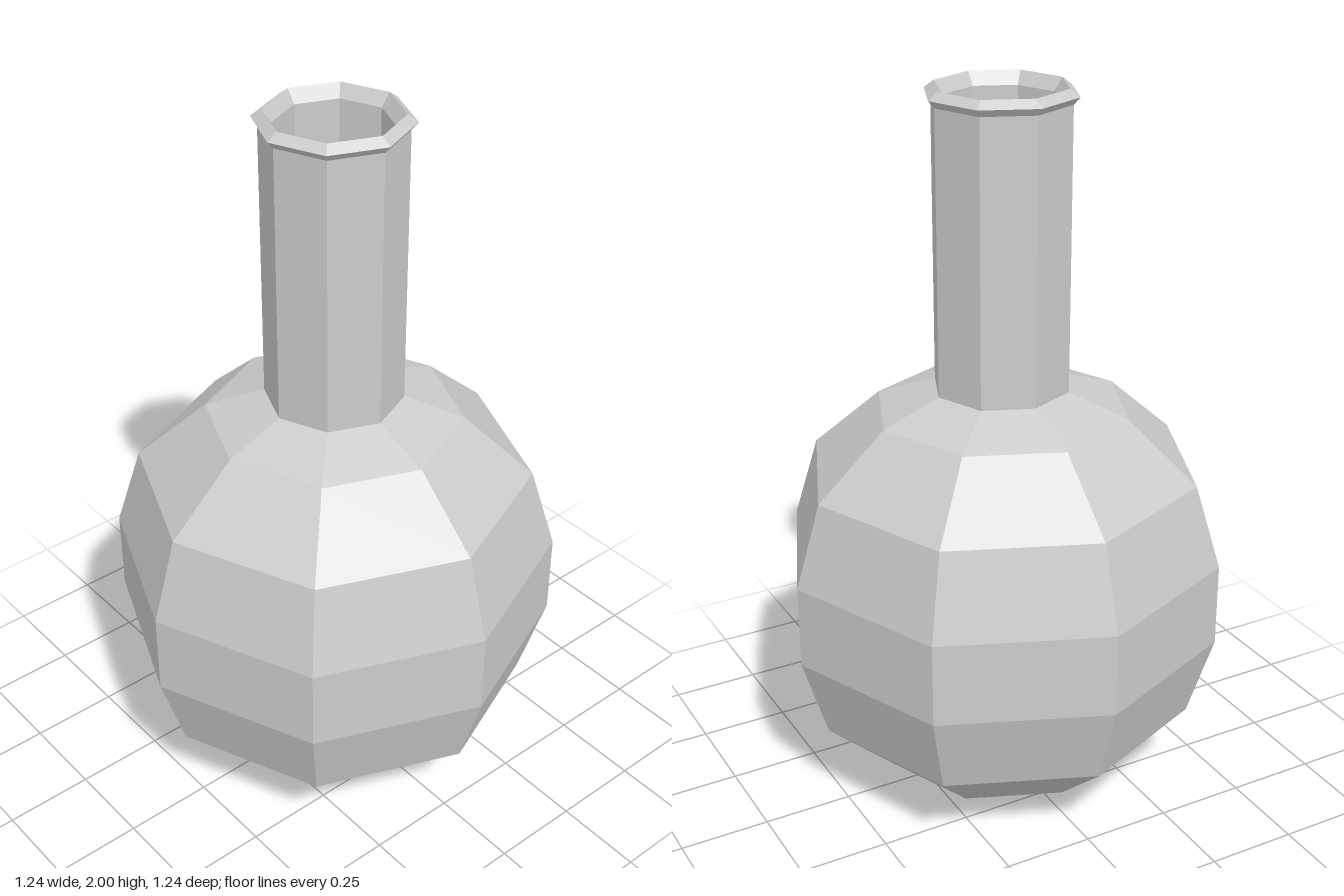
import * as THREE from 'three';

const SIDES = 8;

// Faceted surface of revolution; points run so that the faces look outward
function turned(name, profile, material) {
  const points = profile.map(([r, y]) => new THREE.Vector2(r, y));
  const mesh = new THREE.Mesh(new THREE.LatheGeometry(points, SIDES), material);
  mesh.name = name;
  return mesh;
}

export function createModel() {
  const flask = new THREE.Group();
  flask.name = 'flask';
  const glass = new THREE.MeshStandardMaterial({
    color: 0xcccccc, flatShading: true, side: THREE.DoubleSide,
  });

  // Round body with a slightly dented base
  flask.add(turned('body', [
    [0, 0.02], [0.08, 0], [0.355, 0.065], [0.55, 0.24], [0.622, 0.475],
    [0.622, 0.71], [0.55, 0.945], [0.355, 1.12], [0.19, 1.18],
  ], glass));

  // Straight neck
  flask.add(turned('neck', [[0.19, 1.18], [0.19, 1.96]], glass));

  // Flared lip, bevelled into the mouth
  flask.add(turned('lip', [
    [0.19, 1.96], [0.207, 1.98], [0.18, 2], [0.155, 1.965],
  ], glass));

  // Hollow interior, from the mouth down to the floor
  flask.add(turned('interior', [
    [0.155, 1.965], [0.155, 1.155], [0.34, 1.09], [0.52, 0.93], [0.587, 0.705],
    [0.587, 0.48], [0.52, 0.26], [0.34, 0.1], [0.075, 0.035], [0, 0.05],
  ], glass));

  return flask;
}
